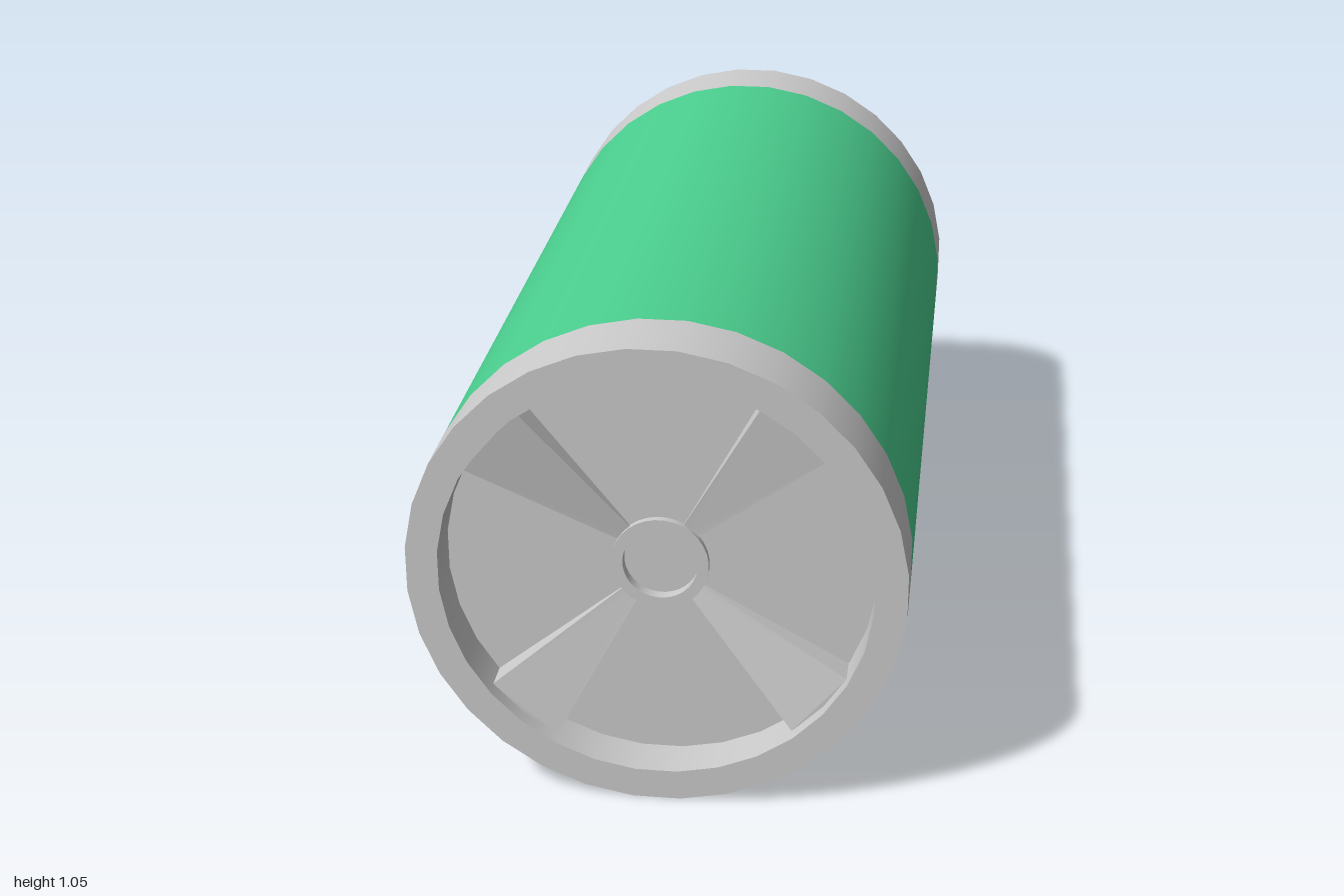
import * as THREE from 'three';
import { mergeGeometries } from 'three/addons/utils/BufferGeometryUtils.js';

const SIDES = 32;
const R = 0.5275;          // outer radius
const RIM = 0.459;         // inside of the rim
const HUB = 0.104, HOLE = 0.08;
const BAND = 0.84;         // where the coloured sleeve ends
const FLOOR = 0.9;         // recessed end face
const HUB_TOP = 0.915;
const SPOKE_TOP = 0.965;   // spoke height where it meets the rim

const grey = new THREE.MeshStandardMaterial({ color: 0xcccccc });
const green = new THREE.MeshStandardMaterial({ color: 0x4bcf8f });

// Profile [radius, z] turned round the z axis, with a crisp edge at every point
function turned(profile) {
  const rings = [];
  for (let i = 0; i < profile.length - 1; i++) {
    const pts = [profile[i], profile[i + 1]].map(([r, z]) => new THREE.Vector2(r, z));
    rings.push(new THREE.LatheGeometry(pts, SIDES, Math.PI / SIDES));
  }
  return mergeGeometries(rings).rotateX(Math.PI / 2);
}

// Wedge-shaped spoke, high at the rim and sloping down to the hub
function spokeGeometry() {
  const half = THREE.MathUtils.degToRad(11.2);
  const shape = new THREE.Shape();
  shape.absarc(0, 0, RIM, -half, half, false);
  shape.absarc(0, 0, HUB - 0.003, half, -half, true);
  shape.closePath();
  const geo = new THREE.ExtrudeGeometry(shape, { depth: 1, bevelEnabled: false, curveSegments: 4 });
  const p = geo.attributes.position;
  for (let i = 0; i < p.count; i++) {
    const t = (Math.hypot(p.getX(i), p.getY(i)) - HUB) / (RIM - HUB);
    const top = THREE.MathUtils.lerp(FLOOR + 0.006, SPOKE_TOP, t);
    p.setZ(i, p.getZ(i) > 0.5 ? top : FLOOR - 0.005);
  }
  geo.computeVertexNormals();
  return geo;
}

function add(parent, name, geometry, material) {
  const mesh = new THREE.Mesh(geometry, material);
  mesh.name = name;
  parent.add(mesh);
  return mesh;
}

// End cap: rim band, recessed face, hub ring and four spokes
function endCap(name, firstAngle) {
  const cap = new THREE.Group();
  cap.name = name;
  add(cap, 'rimBand', turned([[R, BAND], [R, 1], [RIM, 1], [RIM, FLOOR]]), grey);
  add(cap, 'recessedFace', turned([[RIM, FLOOR], [HUB, FLOOR]]), grey);
  add(cap, 'hub', turned([[HUB, FLOOR], [HUB, HUB_TOP], [HOLE, HUB_TOP], [HOLE, FLOOR - 0.01], [0, FLOOR - 0.01]]), grey);
  const spoke = spokeGeometry();
  for (let i = 0; i < 4; i++) {
    add(cap, 'spoke', spoke, grey).rotation.z = THREE.MathUtils.degToRad(firstAngle + i * 90);
  }
  return cap;
}

export function createModel() {
  const model = new THREE.Group();
  model.name = 'canister';
  const body = new THREE.Group();
  body.name = 'body';
  body.position.y = R * Math.cos(Math.PI / SIDES);
  model.add(body);

  // Coloured sleeve
  add(body, 'sleeve', turned([[R, -BAND], [R, BAND]]), green);

  // The two caps mirror each other
  const front = endCap('frontCap', 50);
  const back = endCap('backCap', 40);
  back.rotation.y = Math.PI;
  body.add(front, back);
  return model;
}
